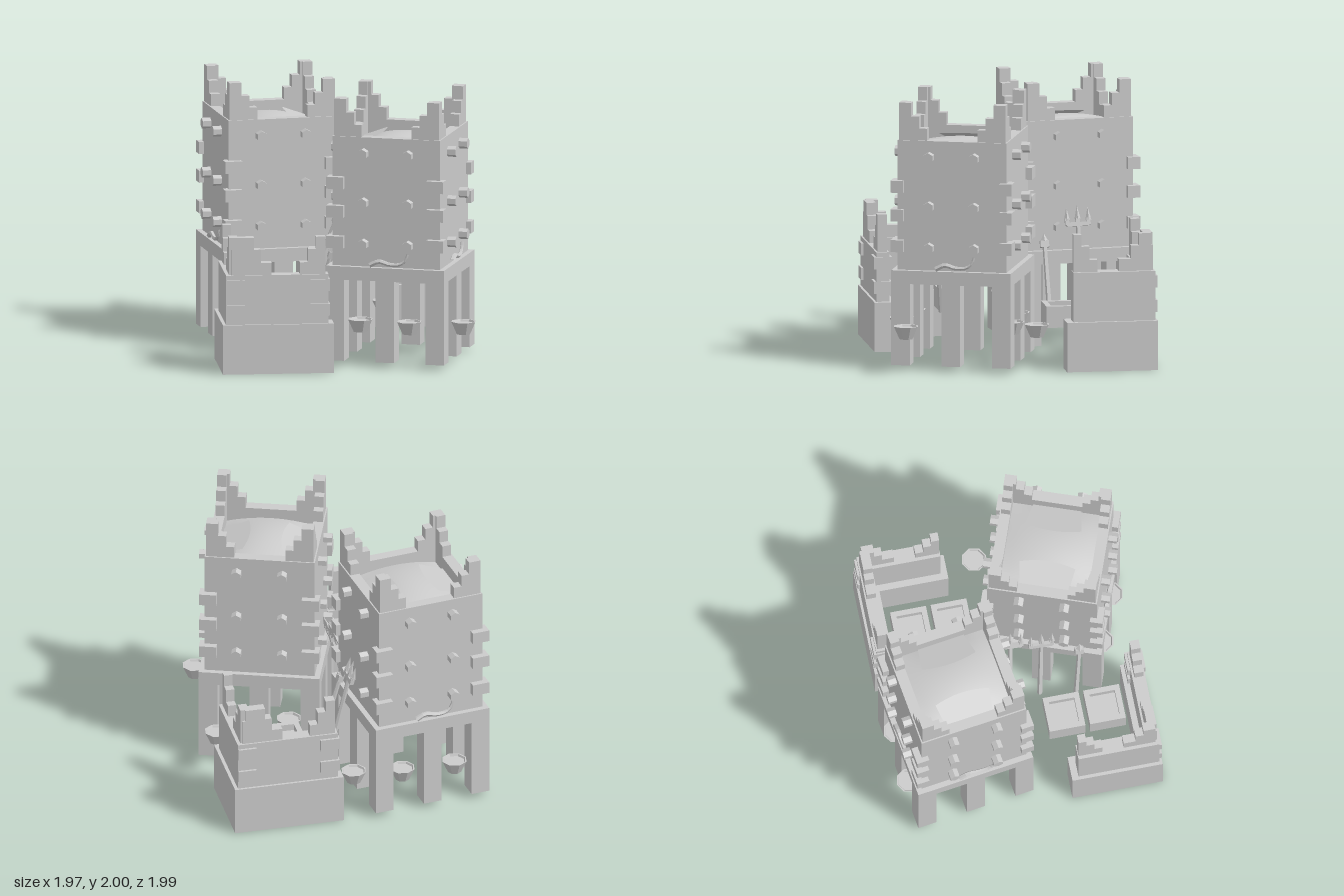
import * as THREE from 'three';

const mat = new THREE.MeshStandardMaterial({ color: 0xcccccc, flatShading: true });
const matDouble = new THREE.MeshStandardMaterial({ color: 0xcccccc, side: THREE.DoubleSide });
const matThin = new THREE.MeshStandardMaterial({ color: 0xcccccc, flatShading: true, side: THREE.DoubleSide });

function add(parent, name, geo, x = 0, y = 0, z = 0, m = mat) {
  const mesh = new THREE.Mesh(geo, m);
  mesh.name = name;
  mesh.position.set(x, y, z);
  parent.add(mesh);
  return mesh;
}

// box given by its min and max on each axis
function block(parent, name, x0, x1, y0, y1, z0, z1) {
  return add(parent, name, new THREE.BoxGeometry(x1 - x0, y1 - y0, z1 - z0),
    (x0 + x1) / 2, (y0 + y1) / 2, (z0 + z1) / 2);
}

// hollow square wall ring standing on y0
function ring(parent, name, outer, inner, y0, y1) {
  const square = (C, h) => new C([[-h, -h], [h, -h], [h, h], [-h, h]].map(p => new THREE.Vector2(...p)));
  const s = square(THREE.Shape, outer);
  s.holes.push(square(THREE.Path, inner));
  const g = new THREE.ExtrudeGeometry(s, { depth: y1 - y0, bevelEnabled: false });
  g.rotateX(-Math.PI / 2);
  return add(parent, name, g, 0, y0, 0);
}

// curved horn that tapers, lying on a wall face
function hornGeometry() {
  const curve = new THREE.CatmullRomCurve3([[-0.12, 0.765], [-0.05, 0.795], [0.03, 0.775], [0.11, 0.78], [0.15, 0.81], [0.17, 0.86]]
    .map(([x, y]) => new THREE.Vector3(x, y, 0)));
  const g = new THREE.TubeGeometry(curve, 12, 0.02, 6);
  const p = g.attributes.position;
  const c = new THREE.Vector3(), v = new THREE.Vector3();
  for (let i = 0; i < p.count; i++) {
    const t = Math.floor(i / 7) / 12;
    curve.getPointAt(t, c);
    v.fromBufferAttribute(p, i).sub(c).multiplyScalar(1 - 0.45 * t).add(c);
    p.setXYZ(i, v.x, v.y, v.z);
  }
  return g;
}

function tower(name, x, z, angle, hornFaces) {
  const t = new THREE.Group();
  t.name = name;
  t.position.set(x, 0, z);
  t.rotation.y = angle;
  const B = 0.45, H = 0.41, I = 0.33;

  // open base: eight pillars under a lintel ring
  for (const i of [-1, 0, 1]) for (const k of [-1, 0, 1]) {
    if (i || k) add(t, 'pillar', new THREE.BoxGeometry(0.14, 0.61, 0.14), i * (B - 0.07), 0.345, k * (B - 0.07));
  }
  ring(t, 'lintel', B, B - 0.14, 0.65, 0.75);
  ring(t, 'towerWall', H, I, 0.75, 1.72);

  // domed roof sheet
  const roof = new THREE.PlaneGeometry(2 * I, 2 * I, 12, 12).rotateX(-Math.PI / 2);
  const p = roof.attributes.position;
  for (let i = 0; i < p.count; i++) {
    const u = p.getX(i) / I, w = p.getZ(i) / I;
    p.setY(i, 1.6 + 0.09 * (1 - u * u) * (1 - 0.5 * w * w));
  }
  roof.computeVertexNormals();
  add(t, 'roof', roof, 0, 0, 0, matDouble);

  // curved flaps lying on the roof
  const flap = new THREE.Shape();
  flap.moveTo(0.33, -0.18);
  flap.lineTo(0.15, -0.21);
  flap.quadraticCurveTo(0.09, 0, 0.15, 0.21);
  flap.lineTo(0.33, 0.18);
  for (const s of [0, Math.PI]) {
    const g = new THREE.ShapeGeometry(flap, 8).rotateX(-Math.PI / 2);
    const q = g.attributes.position;
    for (let i = 0; i < q.count; i++) q.setY(i, 1.625 + 0.35 * (0.33 - q.getX(i)));
    add(t, 'roofFlap', g, 0, 0, 0, matThin).rotation.y = s;
  }

  // each side: stepped battlements, studs, corner blocks and horns
  const steps = [[0.21, 1.72, 1.81], [0.15, 1.81, 1.9], [0.09, 1.9, 2]];
  for (let f = 0; f < 4; f++) {
    const side = new THREE.Group();
    side.name = 'towerSide';
    side.rotation.y = f * Math.PI / 2;
    t.add(side);
    for (const s of [-1, 1]) {
      for (const [w, y0, y1] of steps) {
        add(side, 'battlement', new THREE.BoxGeometry(w, y1 - y0, 0.07), s * (H - 0.01 - w / 2), (y0 + y1) / 2, H - 0.045);
      }
      for (const y of [0.92, 1.23, 1.6]) {
        const g = new THREE.CylinderGeometry(0.04, 0.04, 0.1, 6).rotateX(Math.PI / 2);
        add(side, 'stud', g, s * 0.17, y, H + 0.015);
      }
      if (f % 2 === 0) for (const y of [0.93, 1.16, 1.375]) {
        add(side, 'cornerBlock', new THREE.BoxGeometry(0.13, 0.09, 0.095), s * (H - 0.028), y, H);
      }
    }
    if (hornFaces.includes(f)) add(side, 'horn', hornGeometry(), 0, 0, H + 0.02);
  }
  return t;
}

// L-shaped low wall on a plinth
function lowWall() {
  const w = new THREE.Group();
  w.name = 'lowWall';
  const ell = (name, x0, x1, xi, z0, zi, z1, y0, y1) => {
    const s = new THREE.Shape([[x0, -z1], [x1, -z1], [x1, -zi], [xi, -zi], [xi, -z0], [x0, -z0]]
      .map(p => new THREE.Vector2(...p)));
    const g = new THREE.ExtrudeGeometry(s, { depth: y1 - y0, bevelEnabled: false }).rotateX(-Math.PI / 2);
    add(w, name, g, 0, y0, 0);
  };
  ell('plinth', -0.965, -0.14, -0.775, 0.295, 0.815, 0.975, 0, 0.37);
  ell('wall', -0.94, -0.18, -0.825, 0.345, 0.86, 0.957, 0.37, 0.74);
  // stepped battlements at the corner and both ends
  const levels = [0.74, 0.83, 0.93, 1.02];
  const along = [[-0.9, -0.6, -0.39, -0.2], [-0.9, -0.68, -0.33, -0.2], [-0.88, -0.73, -0.27, -0.2]];
  const across = [[0.35, 0.53, 0.69, 0.93], [0.35, 0.47, 0.78, 0.93], [0.35, 0.41, 0.84, 0.93]];
  for (let i = 0; i < 3; i++) for (const j of [0, 2]) {
    block(w, 'wallBattlement', along[i][j], along[i][j + 1], levels[i], levels[i + 1], 0.875, 0.945);
    block(w, 'wallBattlement', -0.915, -0.85, levels[i], levels[i + 1], across[i][j], across[i][j + 1]);
  }
  for (const y of [0.43, 0.615]) {
    block(w, 'wallBlock', -0.935, -0.8, y, y + 0.09, 0.9, 0.975);
    block(w, 'wallBlock', -0.315, -0.17, y, y + 0.09, 0.84, 0.975);
  }
  // open trays beside the wall
  for (const z of [0.335, 0.64]) {
    const tray = new THREE.Group();
    tray.name = 'tray';
    tray.position.set(-0.44, 0, z);
    ring(tray, 'trayFrame', 0.135, 0.095, 0.27, 0.43);
    block(tray, 'trayFloor', -0.1, 0.1, 0.28, 0.38, -0.1, 0.1);
    w.add(tray);
  }
  return w;
}

// octagonal bowl, filled just below the rim
function bowl(x, z) {
  const b = new THREE.Group();
  b.name = 'bowl';
  const pts = [[0, 0.26], [0.052, 0.26], [0.095, 0.355], [0.085, 0.355], [0.078, 0.34], [0, 0.34]];
  add(b, 'bowlCup', new THREE.LatheGeometry(pts.map(p => new THREE.Vector2(...p)), 8), 0, 0, 0, matThin);
  b.position.set(x, 0, z);
  b.rotation.y = 0.2;
  return b;
}

// weapon leaning against a tower, with three prongs or one point
function weapon(foot, head, forked) {
  const g = new THREE.Group();
  g.name = forked ? 'fork' : 'spear';
  const a = new THREE.Vector3(...foot), d = new THREE.Vector3(...head).sub(a);
  const L = d.length();
  g.position.copy(a);
  g.quaternion.setFromUnitVectors(new THREE.Vector3(0, 1, 0), d.normalize());
  add(g, 'shaft', new THREE.CylinderGeometry(0.016, 0.02, L - 0.08, 6), 0, (L - 0.08) / 2, 0);
  if (forked) {
    add(g, 'crossbar', new THREE.BoxGeometry(0.03, 0.03, 0.17), 0, L - 0.14, 0);
    for (const z of [-0.08, 0, 0.08]) {
      add(g, 'prongBase', new THREE.BoxGeometry(0.03, 0.05, 0.03), 0, L - 0.12, z);
      add(g, 'prong', new THREE.ConeGeometry(0.023, 0.1, 4), 0, L - 0.05 - Math.abs(z) * 0.15, z);
    }
  } else {
    add(g, 'collar', new THREE.BoxGeometry(0.04, 0.05, 0.065), 0, L - 0.08, 0);
    add(g, 'point', new THREE.ConeGeometry(0.03, 0.06, 4), 0, L - 0.03, 0);
  }
  return g;
}

export function createModel() {
  const model = new THREE.Group();
  model.name = 'fortress';
  model.add(tower('rearTower', -0.48, -0.49, 0.143, [2, 3]));
  model.add(tower('frontTower', 0.405, 0.4, -0.349, [0, 1]));

  const frontWall = lowWall();
  const rearWall = lowWall();
  rearWall.rotation.y = Math.PI;
  model.add(frontWall, rearWall);

  for (const [x, z] of [[0.04, -0.87], [-0.72, -0.89], [-0.32, -0.91], [-0.62, -0.06], [0.89, -0.08],
    [0.83, 0.89], [0.33, -0.02], [0.74, 0.08], [0.08, 0.72], [0.43, 0.86]]) model.add(bowl(x, z));

  for (const w of [
    [[0.16, 0.27, -0.54], [-0.04, 1.08, -0.52], true],
    [[0.16, 0.27, -0.29], [-0.02, 0.88, -0.27], false],
    [[-0.31, 0.27, -0.05], [0.01, 1.08, 0.02], true],
    [[-0.2, 0.27, 0.2], [-0.01, 1.0, 0.25], true],
    [[-0.26, 0.27, 0.46], [-0.1, 0.88, 0.52], false],
  ]) model.add(weapon(...w));
  return model;
}
